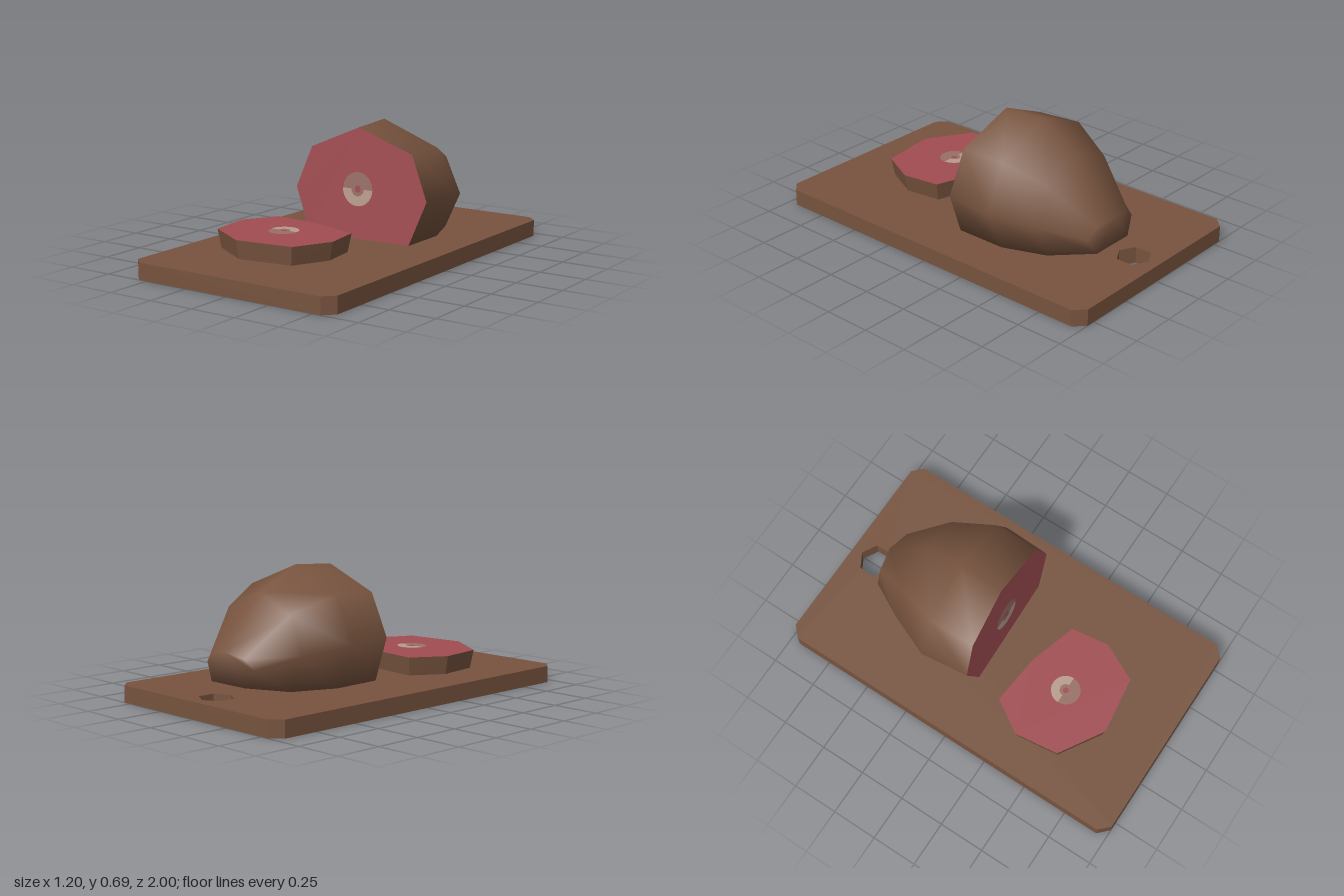
import * as THREE from 'three';

const paint = (name, color) => {
  const m = new THREE.MeshStandardMaterial({ color });
  m.name = name;
  return m;
};

// Skins a list of equal-length rings; ends with a fan when capped.
function loft(rings, capped) {
  const n = rings[0].length, pos = rings.flat(2), index = [];
  for (let r = 0; r < rings.length - 1; r++) {
    for (let i = 0; i < n; i++) {
      const a = r * n + i, b = r * n + (i + 1) % n;
      index.push(a, a + n, b, b, a + n, b + n);
    }
  }
  if (capped) {
    const start = (rings.length - 1) * n;
    for (let i = 1; i < n - 1; i++) index.push(start, start + i + 1, start + i);
  }
  const g = new THREE.BufferGeometry();
  g.setAttribute('position', new THREE.Float32BufferAttribute(pos, 3));
  g.setIndex(index);
  g.computeVertexNormals();
  return g;
}

// Flat polygon, counter-clockwise when seen from its front.
function polygon(points) {
  const index = [];
  for (let i = 1; i < points.length - 1; i++) index.push(0, i, i + 1);
  const g = new THREE.BufferGeometry();
  g.setAttribute('position', new THREE.Float32BufferAttribute(points.flat(), 3));
  g.setIndex(index);
  g.computeVertexNormals();
  return g;
}

export function createModel() {
  const model = new THREE.Group();
  model.name = 'meatOnBoard';
  const brown = paint('brown', 0x77533e);
  const pink = paint('meat pink', 0xa04c51);
  const boneLight = paint('pale bone', 0xb89c8c);
  const boneDark = paint('shaded bone', 0x976f67);
  const add = (name, geometry, material, parent = model) => {
    const mesh = new THREE.Mesh(geometry, material);
    mesh.name = name;
    parent.add(mesh);
    return mesh;
  };

  // Board with cut corners and a hexagonal hanging hole
  const w = 0.6, l = 1, c = 0.055;
  const outline = new THREE.Shape([
    [-w + c, -l], [w - c, -l], [w, -l + c], [w, l - c],
    [w - c, l], [-w + c, l], [-w, l - c], [-w, -l + c],
  ].map(([x, y]) => new THREE.Vector2(x, y)));
  const hole = [];
  for (let i = 0; i < 6; i++) {
    const a = Math.PI / 2 - i * Math.PI / 3;
    hole.push(new THREE.Vector2(-0.005 + 0.092 * Math.cos(a), 0.855 + 0.09 * Math.sin(a)));
  }
  outline.holes.push(new THREE.Path(hole));
  const board = new THREE.ExtrudeGeometry(outline, { depth: 0.088, bevelEnabled: false });
  add('board', board.rotateX(-Math.PI / 2), brown);

  // Joint of meat: seven-sided sections from the cut face to the back
  const faceZ = (x, y) => -0.022 - 0.063 * (y - 0.09) - 0.03 * (x - 0.05);
  const cut = [
    [0.035, 0.67], [-0.25, 0.547], [-0.34, 0.325], [-0.25, 0.09],
    [0.36, 0.09], [0.455, 0.325], [0.36, 0.557],
  ].map(([x, y]) => [x, y, faceZ(x, y)]);
  const middle = [
    [0.035, 0.685], [-0.26, 0.56], [-0.367, 0.315], [-0.26, 0.09],
    [0.36, 0.09], [0.47, 0.315], [0.36, 0.56],
  ].map(([x, y]) => [x, y, -0.3 - 0.024 * (x - 0.05)]);
  const shoulder = [
    [0.045, 0.565], [-0.175, 0.47], [-0.262, 0.28], [-0.175, 0.092],
    [0.28, 0.092], [0.367, 0.28], [0.28, 0.47],
  ].map(([x, y]) => [x, y, -0.53 - 0.016 * (x - 0.05)]);
  const end = [
    [0.035, 0.295, -0.77], [-0.09, 0.27, -0.748], [-0.145, 0.22, -0.73], [-0.09, 0.13, -0.75],
    [0.16, 0.13, -0.75], [0.215, 0.22, -0.73], [0.16, 0.27, -0.748],
  ];
  const joint = new THREE.Group();
  joint.name = 'meatJoint';
  model.add(joint);
  add('jointSkin', loft([cut, middle, shoulder, end], true), brown, joint);
  add('jointCutFace', polygon(cut), pink, joint);

  // Bone section: dark ring with a pale crescent, pink marrow left open
  function makeBone(r) {
    const bone = new THREE.Group();
    bone.name = 'boneSection';
    add('boneRing', new THREE.RingGeometry(r * 0.2, r, 18), boneDark, bone);
    add('boneCrescent', new THREE.RingGeometry(r * 0.42, r, 14, 1, Math.PI, Math.PI), boneLight, bone)
      .position.z = 0.002;
    return bone;
  }
  const jointBone = makeBone(0.09);
  jointBone.position.set(0.045, 0.35, faceZ(0.045, 0.35) + 0.003);
  jointBone.quaternion.setFromUnitVectors(
    new THREE.Vector3(0, 0, 1), new THREE.Vector3(0.03, 0.063, 1).normalize());
  joint.add(jointBone);

  // Slice lying on the board, slightly narrower below
  const rim = [
    [-0.43, 0.335], [-0.4, 0.57], [-0.165, 0.715], [0.145, 0.675],
    [0.245, 0.475], [0.215, 0.27], [-0.04, 0.19], [-0.32, 0.16],
  ];
  const cx = -0.09, cz = 0.43;
  const top = rim.map(([x, z]) => [x, 0.196, z]);
  const bottom = rim.map(([x, z]) => [cx + (x - cx) * 0.94, 0.099, cz + (z - cz) * 0.95]);
  const slice = new THREE.Group();
  slice.name = 'meatSlice';
  model.add(slice);
  const side = loft([top, bottom], false).toNonIndexed();
  side.computeVertexNormals();
  add('sliceSkin', side, brown, slice);
  add('sliceTop', polygon(top), pink, slice);
  add('sliceUnderside', polygon([...bottom].reverse()), pink, slice);
  const sliceBone = makeBone(0.078);
  sliceBone.rotation.set(-Math.PI / 2, 0, Math.PI);
  sliceBone.position.set(-0.09, 0.199, 0.425);
  slice.add(sliceBone);

  return model;
}
